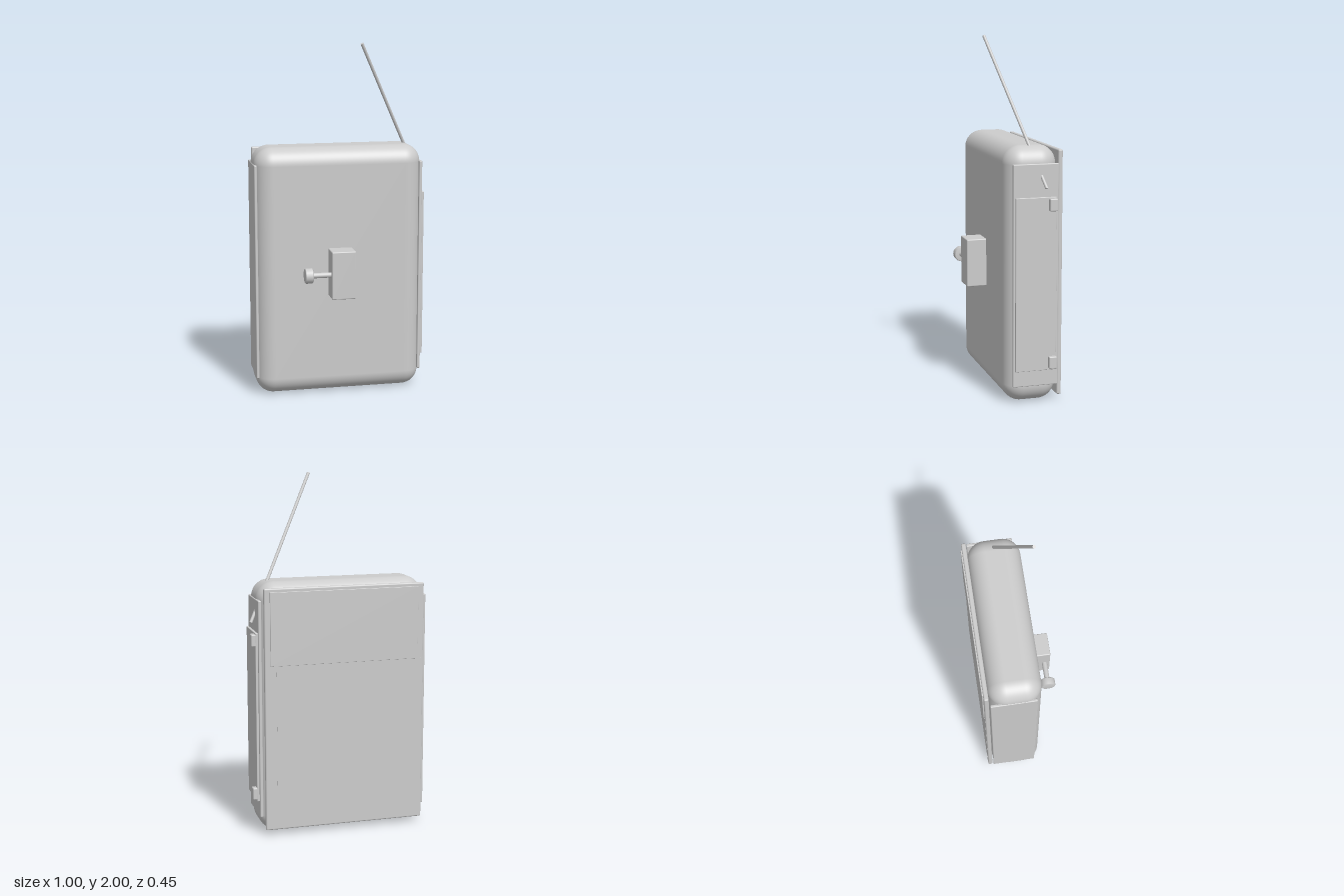
import * as THREE from 'three';
import { RoundedBoxGeometry } from 'three/addons/geometries/RoundedBoxGeometry.js';

export function createModel() {
  const model = new THREE.Group();
  model.name = 'fieldRadio';
  const grey = new THREE.MeshStandardMaterial({ color: 0xcccccc });
  grey.name = 'plain grey';

  const add = (name, geometry) => {
    const mesh = new THREE.Mesh(geometry, grey);
    mesh.name = name;
    model.add(mesh);
    return mesh;
  };
  // Box given by its min and max corners, with rounded edges of radius r
  const block = (name, [x0, y0, z0], [x1, y1, z1], r = 0, segments = 2) => {
    const size = [x1 - x0, y1 - y0, z1 - z0];
    const geometry = r ? new RoundedBoxGeometry(...size, segments, r) : new THREE.BoxGeometry(...size);
    add(name, geometry).position.set((x0 + x1) / 2, (y0 + y1) / 2, (z0 + z1) / 2);
  };
  // Round bar between two points
  const rod = (name, from, to, radius, sides) => {
    const a = new THREE.Vector3(...from), b = new THREE.Vector3(...to);
    const dir = b.clone().sub(a);
    const mesh = add(name, new THREE.CylinderGeometry(radius, radius, dir.length(), sides));
    mesh.position.copy(a).add(b).multiplyScalar(0.5);
    mesh.quaternion.setFromUnitVectors(new THREE.Vector3(0, 1, 0), dir.normalize());
  };

  // Case
  block('case', [-0.498, 0, -0.197], [0.458, 1.424, 0.1], 0.1, 8);

  // Side panels, the left one carrying a hinged door
  block('rightSidePanel', [-0.501, 0.1, -0.19], [-0.485, 1.33, 0.066], 0.005);
  block('leftSidePanel', [0.445, 0.1, -0.19], [0.463, 1.33, 0.066], 0.005);
  block('door', [0.462, 0.19, -0.175], [0.477, 1.15, 0.055], 0.003);
  for (const y of [0.2, 1.075]) {
    block('hinge', [0.47, y, -0.175], [0.5, y + 0.068, -0.13], 0.006);
  }

  // Back plate with upper and lower covers
  block('backPlate', [-0.48, 0.03, -0.221], [0.437, 1.4, -0.195], 0.008);
  block('upperBackCover', [-0.445, 0.97, -0.228], [0.405, 1.38, -0.215], 0.002);
  block('lowerBackCover', [-0.47, 0.045, -0.222], [0.37, 0.97, -0.215]);

  // Front control box with a crank knob
  block('controlBox', [-0.09, 0.58, 0.09], [0.047, 0.853, 0.213], 0.006);
  rod('knobShaft', [-0.21, 0.718, 0.18], [-0.08, 0.718, 0.18], 0.015, 16);
  const knobProfile = [[0, -0.023], [0.038, -0.023], [0.043, -0.018], [0.043, 0.018], [0.038, 0.023], [0, 0.023]]
    .map(([r, y]) => new THREE.Vector2(r, y));
  const knob = add('knob', new THREE.LatheGeometry(knobProfile, 20));
  knob.rotation.z = Math.PI / 2;
  knob.position.set(-0.217, 0.718, 0.18);

  // Slanted aerial running through the upper corner of the case
  rod('aerial', [0.488, 1.2, -0.113], [0.095, 1.997, 0.125], 0.009, 12);

  return model;
}
